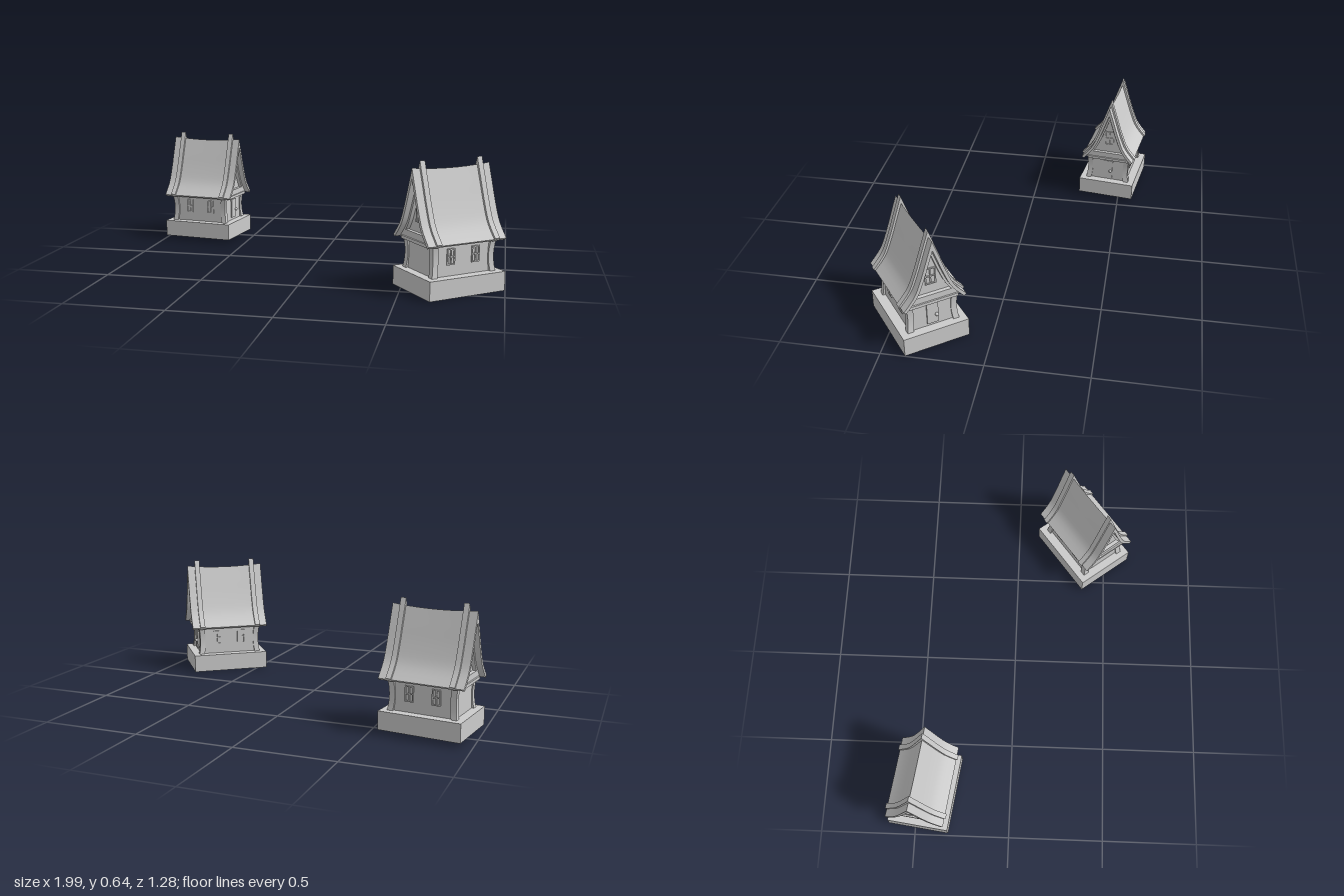
import * as THREE from 'three';
import { toCreasedNormals } from 'three/addons/utils/BufferGeometryUtils.js';

const mat = new THREE.MeshStandardMaterial({ color: 0xcccccc, side: THREE.DoubleSide });
const V = (x, y) => new THREE.Vector2(x, y);

function add(parent, name, geo, x = 0, y = 0, z = 0) {
  const m = new THREE.Mesh(geo, mat);
  m.name = name;
  m.position.set(x, y, z);
  parent.add(m);
  return m;
}

// One side of the sweeping roof curve, from ridge to eave, offset along its normal
const curve = new THREE.SplineCurve([V(0, 0.605), V(0.03, 0.515), V(0.062, 0.42), V(0.1, 0.33), V(0.158, 0.258)]);
function slope(off, yMin = 0) {
  const pts = [];
  for (let i = 0; i <= 14; i++) {
    const p = curve.getPoint(i / 14), t = curve.getTangent(i / 14);
    if (i === 0) { pts.push(V(0, p.y + off / t.x)); continue; }
    const q = V(p.x - t.y * off, p.y + t.x * off);
    if (q.x < 0.003 || q.y > pts[0].y) continue;
    if (q.y < yMin) {
      const a = pts[pts.length - 1], k = (a.y - yMin) / (a.y - q.y);
      pts.push(V(a.x + (q.x - a.x) * k, yMin));
      break;
    }
    pts.push(q);
  }
  return pts;
}
const mirrored = (pts) => [...pts.slice(1).reverse().map((p) => V(-p.x, p.y)), ...pts];

// Extrude a cross-section along x, centred on x = 0
function alongX(shape, length, steps = 1) {
  const g = new THREE.ExtrudeGeometry(shape, { depth: length, steps, bevelEnabled: false });
  g.translate(0, 0, -length / 2);
  g.rotateY(Math.PI / 2);
  return g;
}
const shell = (outer, inner) => new THREE.Shape([...mirrored(slope(outer)), ...mirrored(slope(inner)).reverse()]);

// Four upright walls without floor or lid
function openBox(parent, name, w, d, h, y) {
  const g = new THREE.Group();
  g.name = name;
  for (let i = 0; i < 4; i++) {
    const side = add(g, name + 'Side', new THREE.PlaneGeometry(i % 2 ? d : w, h));
    const a = (i * Math.PI) / 2, r = (i % 2 ? w : d) / 2;
    side.position.set(Math.sin(a) * r, y + h / 2, Math.cos(a) * r);
    side.rotation.y = a;
  }
  parent.add(g);
}

function rect(Type, w, h, cx = 0, cy = 0) {
  return new Type([V(cx - w / 2, cy - h / 2), V(cx + w / 2, cy - h / 2), V(cx + w / 2, cy + h / 2), V(cx - w / 2, cy + h / 2)]);
}

// Window frame with four panes, facing +z
function windowGeometry(w, h) {
  const s = rect(THREE.Shape, w, h), bar = 0.006;
  const pw = (w - 3 * bar) / 2, ph = (h - 3 * bar) / 2;
  for (const i of [-1, 1]) for (const j of [-1, 1])
    s.holes.push(rect(THREE.Path, pw, ph, (i * (pw + bar)) / 2, (j * (ph + bar)) / 2));
  return new THREE.ExtrudeGeometry(s, { depth: 0.006, bevelEnabled: false });
}

function cottage(name) {
  const house = new THREE.Group();
  house.name = name;

  // Hollow plinth with a ring-shaped top
  openBox(house, 'foundation', 0.428, 0.335, 0.096, 0);
  const ring = rect(THREE.Shape, 0.428, 0.335);
  ring.holes.push(rect(THREE.Path, 0.33, 0.23));
  add(house, 'foundationTop', new THREE.ShapeGeometry(ring).rotateX(-Math.PI / 2), 0, 0.096, 0);

  openBox(house, 'walls', 0.336, 0.236, 0.165, 0.096);

  // Corner posts that flare toward both ends
  for (const sx of [-1, 1]) for (const sz of [-1, 1]) {
    const g = new THREE.BoxGeometry(0.03, 0.16, 0.03, 1, 8, 1);
    const p = g.attributes.position;
    for (let i = 0; i < p.count; i++) {
      const k = 0.008 * (p.getY(i) / 0.08) ** 2;
      p.setX(i, p.getX(i) + sx * k);
      p.setZ(i, p.getZ(i) + sz * k);
    }
    add(house, 'cornerPost', toCreasedNormals(g, 0.6), sx * 0.158, 0.174, sz * 0.11);
  }

  // Roof with a slightly sagging ridge
  const roof = alongX(shell(0, -0.016), 0.44, 10);
  const rp = roof.attributes.position;
  for (let i = 0; i < rp.count; i++) {
    const lift = THREE.MathUtils.clamp((rp.getY(i) - 0.25) / 0.35, 0, 1);
    rp.setY(i, rp.getY(i) - 0.012 * lift * (1 - (rp.getX(i) / 0.22) ** 2));
  }
  add(house, 'roof', toCreasedNormals(roof, 0.6));

  // Gable infill between the slopes
  const infill = mirrored(slope(-0.016, 0.246));
  add(house, 'gableWall', toCreasedNormals(alongX(new THREE.Shape(infill), 0.34), 0.6));

  const frame = new THREE.Shape(infill);
  frame.holes.push(new THREE.Path(mirrored(slope(-0.028, 0.29))));
  for (const s of [-1, 1]) {
    add(house, 'roofBand', toCreasedNormals(alongX(shell(0.01, -0.02), 0.028), 0.6), s * 0.163);
    add(house, 'gableFrame', toCreasedNormals(alongX(frame, 0.02), 0.6), s * 0.18);
    add(house, 'gableBeam', new THREE.BoxGeometry(0.03, 0.016, 0.25), s * 0.183, 0.25, 0);
    add(house, 'gableWindow', windowGeometry(0.055, 0.09), s * 0.17, 0.384, 0).rotation.y = (s * Math.PI) / 2;
    for (const x of [-0.07, 0.07])
      add(house, 'sideWindow', windowGeometry(0.045, 0.08), x, 0.19, s * 0.118).rotation.y = s > 0 ? 0 : Math.PI;
  }

  // Door with a round knob
  add(house, 'door', new THREE.BoxGeometry(0.012, 0.116, 0.058), 0.17, 0.169, 0);
  add(house, 'doorKnob', new THREE.SphereGeometry(0.009, 16, 12), 0.182, 0.159, -0.018);
  return house;
}

export function createModel() {
  const group = new THREE.Group();
  const near = cottage('nearCottage');
  near.position.set(0.726, 0, 0.376);
  near.rotation.y = THREE.MathUtils.degToRad(37.5);
  const far = cottage('farCottage');
  far.position.set(-0.767, 0.02, -0.452);
  far.rotation.y = THREE.MathUtils.degToRad(-8);
  far.scale.setScalar(0.95);
  group.add(near, far);
  return group;
}
